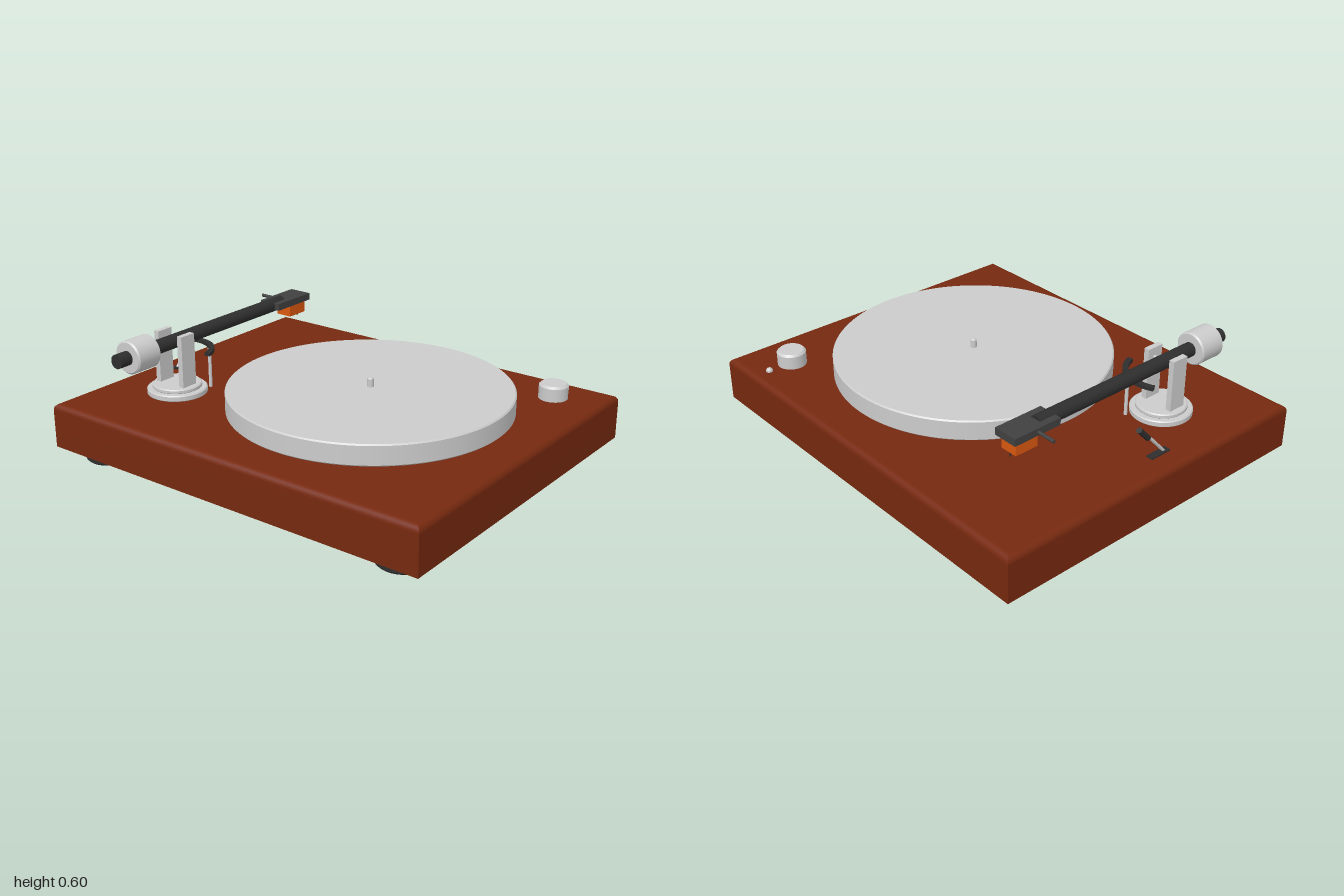
import * as THREE from 'three';

const mat = (color) => new THREE.MeshStandardMaterial({ color });
const grey = mat(0xcccccc), dark = mat(0x2e2e2e), shellGrey = mat(0x404040);
const wood = mat(0x76290f), orange = mat(0xd9580f);

export function createModel() {
  const model = new THREE.Group();

  const add = (name, geometry, material, x = 0, y = 0, z = 0, parent = model) => {
    const mesh = new THREE.Mesh(geometry, material);
    mesh.name = name;
    mesh.position.set(x, y, z);
    parent.add(mesh);
    return mesh;
  };

  // Upright disc of height h with chamfered rims; each flat is a crisp band
  const disc = (r, h, top = 0.008, bottom = top, segments = 64) => {
    const p = [[0, 0], [r - bottom, 0], [r - bottom, 0], [r, bottom], [r, bottom],
      [r, h - top], [r, h - top], [r - top, h], [r - top, h], [0, h]];
    return new THREE.LatheGeometry(p.map(([a, b]) => new THREE.Vector2(a, b)), segments);
  };

  // Straight round bar between two points
  const rod = (name, a, b, r, material, parent = model) => {
    const from = new THREE.Vector3(...a), to = new THREE.Vector3(...b);
    const dir = to.clone().sub(from);
    const mesh = add(name, new THREE.CylinderGeometry(r, r, dir.length(), 24), material, 0, 0, 0, parent);
    mesh.position.copy(from).add(to).multiplyScalar(0.5);
    mesh.quaternion.setFromUnitVectors(new THREE.Vector3(0, 1, 0), dir.normalize());
    return mesh;
  };

  // Plinth: box whose upper rows are drawn in to round the top edge
  const rows = 8, radius = 0.03, bottom = 0.06, top = 0.272;
  const plinth = new THREE.BoxGeometry(2, 1, 1.654, 1, rows, 1);
  const pos = plinth.attributes.position;
  for (let i = 0; i < pos.count; i++) {
    const row = Math.round((pos.getY(i) + 0.5) * rows);
    const angle = row ? ((row - 1) / (rows - 1)) * Math.PI / 2 : 0;
    const inset = radius * (1 - Math.cos(angle));
    const y = row ? top - radius + radius * Math.sin(angle) : bottom;
    pos.setXYZ(i, pos.getX(i) - Math.sign(pos.getX(i)) * inset, y,
      pos.getZ(i) - Math.sign(pos.getZ(i)) * inset);
  }
  plinth.computeVertexNormals();
  add('plinth', plinth, wood);

  // Four feet
  for (const x of [-0.82, 0.82]) {
    for (const z of [-0.65, 0.66]) add('foot', disc(0.115, 0.062, 0.004, 0.008), dark, x, 0, z);
  }

  // Platter with its drive disc and spindle
  const platter = new THREE.Group();
  platter.name = 'platter';
  platter.position.set(0.18, 0, 0);
  model.add(platter);
  add('driveDisc', disc(0.6, 0.02, 0.002), dark, 0, 0.265, 0, platter);
  add('platterDisc', disc(0.65, 0.098, 0.006, 0.006, 128), grey, 0, 0.281, 0, platter);
  add('spindle', disc(0.015, 0.05, 0.005, 0.001, 24), grey, 0, 0.372, 0, platter);

  // Speed knob and indicator lamp
  add('speedKnob', disc(0.068, 0.076, 0.01, 0.002), grey, 0.77, 0.268, -0.62);
  add('indicatorLamp', new THREE.SphereGeometry(0.016, 20, 12), grey, 0.77, 0.275, -0.745);

  // Tonearm stand: stepped base, two uprights and the pivot axle
  const stand = new THREE.Group();
  stand.name = 'tonearmStand';
  stand.position.set(-0.66, 0, 0.37);
  model.add(stand);
  add('standBase', disc(0.14, 0.03, 0.005), grey, 0, 0.27, 0, stand);
  add('standStep', disc(0.115, 0.022, 0.005), grey, 0, 0.298, 0, stand);
  for (const side of [-1, 1]) {
    add('upright', new THREE.BoxGeometry(0.027, 0.25, 0.084), grey, side * 0.072, 0.44, 0.005, stand);
  }
  rod('pivotAxle', [-0.072, 0.52, 0], [0.072, 0.52, 0], 0.008, grey, stand);

  // Curved arm lift: flat arc around the stand, carried by a thin pin
  const arc = new THREE.Shape();
  const start = 0.24, end = 2.06;
  arc.absarc(0, 0, 0.178, start, end, false);
  arc.absarc(0, 0, 0.152, end, start, true);
  const lift = add('armLift', new THREE.ExtrudeGeometry(arc,
    { depth: 0.016, bevelEnabled: false, curveSegments: 32 }), dark, 0, 0.469, 0, stand);
  lift.rotation.x = -Math.PI / 2;
  rod('armLiftPin', [0.08, 0.265, -0.14], [0.08, 0.472, -0.14], 0.008, grey, stand);

  // Tonearm tube, counterweight, headshell and finger lift
  const arm = new THREE.Group();
  arm.name = 'tonearm';
  arm.position.set(-0.66, 0.521, 0);
  model.add(arm);
  rod('armTube', [0, 0, 0.735], [0, 0, -0.385], 0.033, dark, arm);
  const weight = add('counterweight', disc(0.077, 0.135, 0.007), grey, 0, 0, 0.535, arm);
  weight.rotation.x = Math.PI / 2;
  add('headshell', new THREE.BoxGeometry(0.118, 0.034, 0.243), shellGrey, 0, 0.002, -0.423, arm);
  rod('fingerLift', [-0.05, 0, -0.42], [-0.147, 0, -0.42], 0.008, shellGrey, arm);

  // Cartridge and stylus
  add('cartridge', new THREE.BoxGeometry(0.084, 0.066, 0.116), orange, 0, -0.043, -0.467, arm);
  rod('stylusCantilever', [0, -0.072, -0.44], [0, -0.09, -0.518], 0.004, dark, arm);
  rod('stylusTip', [0, -0.086, -0.516], [0, -0.099, -0.516], 0.003, dark, arm);

  // Cueing lever rising at a slant from a dark slot plate
  add('leverSlot', new THREE.BoxGeometry(0.034, 0.008, 0.11), dark, -0.885, 0.274, 0.11);
  rod('leverRod', [-0.885, 0.27, 0.145], [-0.885, 0.395, 0.032], 0.007, grey);
  rod('leverGrip', [-0.885, 0.38, 0.038], [-0.885, 0.442, -0.02], 0.013, dark);

  return model;
}
